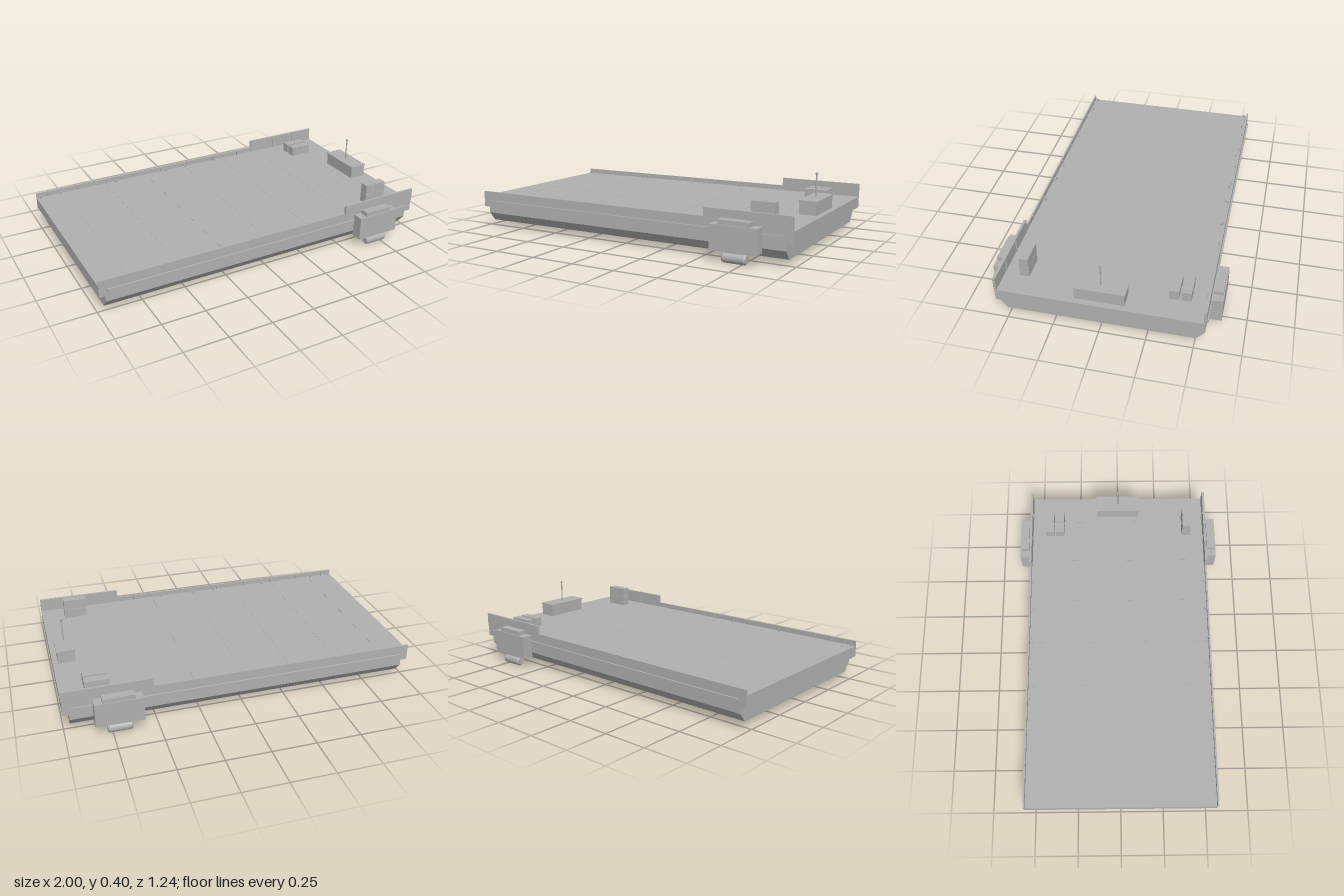
import * as THREE from 'three';

const grey = new THREE.MeshStandardMaterial({ color: 0xb0b0b0 });
grey.name = 'deckGrey';

export function createModel() {
  const model = new THREE.Group();
  model.name = 'barge';

  const add = (name, geometry, x = 0, y = 0, z = 0, parent = model) => {
    const mesh = new THREE.Mesh(geometry, grey);
    mesh.name = name;
    mesh.position.set(x, y, z);
    parent.add(mesh);
    return mesh;
  };
  // Box given by its minimum and maximum on each axis
  const box = (name, x0, x1, y0, y1, z0, z1, parent = model) =>
    add(name, new THREE.BoxGeometry(x1 - x0, y1 - y0, Math.abs(z1 - z0)),
      (x0 + x1) / 2, (y0 + y1) / 2, (z0 + z1) / 2, parent);

  // Lower hull with chamfered bilges, extruded along x
  const section = new THREE.Shape([
    [-0.55, 0.126], [-0.55, 0.088], [-0.508, 0.037],
    [0.508, 0.037], [0.55, 0.088], [0.55, 0.126],
  ].map(([z, y]) => new THREE.Vector2(z, y)));
  const hull = new THREE.ExtrudeGeometry(section, { depth: 1.93, bevelEnabled: false });
  hull.translate(0, 0, -0.965).rotateY(Math.PI / 2);
  add('lowerHull', hull);

  // Deck slab and its panel seams
  box('deckSlab', -1, 1, 0.125, 0.19, -0.555, 0.555);
  for (let i = -3; i <= 3; i++) {
    const x = i * 0.277;
    box('deckSeam', x - 0.0015, x + 0.0015, 0.19, 0.1908, -0.535, 0.535);
  }

  // Thruster pod profile, bevelled at both ends
  const podProfile = [
    [0, -0.067], [0.022, -0.067], [0.028, -0.058],
    [0.028, 0.058], [0.022, 0.067], [0, 0.067],
  ].map(([r, y]) => new THREE.Vector2(r, y));

  for (const s of [1, -1]) {
    const side = new THREE.Group();
    side.name = s > 0 ? 'frontSide' : 'backSide';
    model.add(side);

    // Bulwarks: long low one and tall one at the cabin end
    box('lowBulwark', -1, 0.51, 0.19, 0.219, s * 0.547, s * 0.555, side);
    box('tallBulwark', 0.51, 1, 0.19, 0.268, s * 0.545, s * 0.559, side);
    for (let x = -0.93; x < 0.5; x += 0.19) {
      box('bulwarkRib', x - 0.002, x + 0.002, 0.19, 0.214, s * 0.537, s * 0.547, side);
    }
    for (const x of [0.69, 0.85]) {
      box('bulwarkRib', x - 0.002, x + 0.002, 0.19, 0.262, s * 0.539, s * 0.545, side);
    }

    // Rubbing strip along the hull side
    box('rubbingStrip', -0.955, 0.955, 0.153, 0.166, s * 0.555, s * 0.564, side);

    // Mooring bollards
    for (const x of [-0.98, -0.85, -0.49, -0.14, 0, 0.22]) {
      add('bollardPost', new THREE.CylinderGeometry(0.005, 0.005, 0.014, 12), x, 0.197, s * 0.53, side);
      add('bollardCap', new THREE.CylinderGeometry(0.007, 0.007, 0.004, 12), x, 0.205, s * 0.53, side);
    }

    // Outboard thruster
    box('thrusterHousing', 0.575, 0.84, 0.063, 0.2, s * 0.557, s * 0.622, side);
    box('thrusterCap', 0.62, 0.795, 0.2, 0.225, s * 0.567, s * 0.616, side);
    box('thrusterStem', 0.665, 0.75, 0.045, 0.065, s * 0.58, s * 0.604, side);
    const pod = add('thrusterPod', new THREE.LatheGeometry(podProfile, 28), 0.708, 0.03, s * 0.592, side);
    pod.geometry = pod.geometry.toNonIndexed();
    pod.geometry.computeVertexNormals();
    pod.rotation.z = Math.PI / 2;
  }

  // Control cabin with overhanging roof and mast
  box('cabin', 0.87, 0.968, 0.19, 0.262, -0.133, 0.133);
  box('cabinRoof', 0.865, 0.973, 0.262, 0.268, -0.138, 0.138);
  add('mast', new THREE.CylinderGeometry(0.004, 0.004, 0.13, 12), 0.918, 0.333, 0);
  add('mastLamp', new THREE.SphereGeometry(0.008, 16, 10), 0.918, 0.398, 0);

  // Equipment crates
  for (const [z, y] of [[0.41, 0.19], [0.41, 0.249], [-0.396, 0.19], [-0.461, 0.19]]) {
    box('crate', 0.73, 0.865, y, y + 0.057, z, z + 0.051);
    box('crateBand', 0.795, 0.8, y, y + 0.0585, z - 0.0015, z + 0.0525);
  }

  return model;
}
